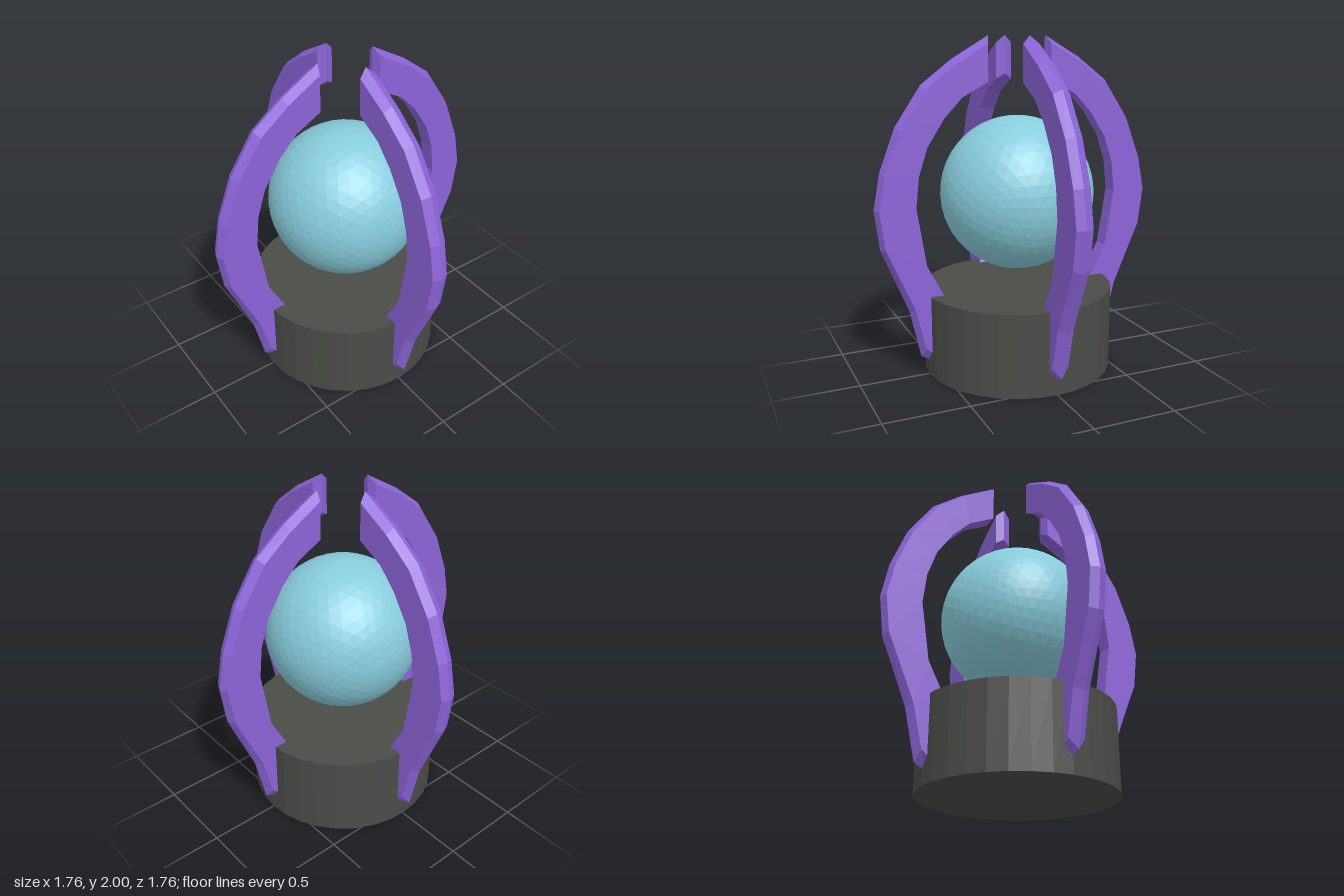
import * as THREE from 'three';

const material = (color) => new THREE.MeshStandardMaterial({ color, flatShading: true });

// Claw stations from tip to foot, as [radius, height]
const ridge = [[0.18, 2], [0.405, 1.87], [0.59, 1.73], [0.745, 1.5], [0.84, 1.25],
  [0.88, 1.035], [0.85, 0.8], [0.69, 0.41], [0.625, 0.12], [0.55, 0.08]];
const outer = [[0.2, 1.955], [0.4, 1.84], [0.575, 1.705], [0.725, 1.485], [0.82, 1.24],
  [0.86, 1.035], [0.83, 0.81], [0.665, 0.43], [0.605, 0.18], [0.55, 0.135]];
const inner = [[0.2, 1.74], [0.36, 1.655], [0.47, 1.54], [0.57, 1.385], [0.625, 1.22],
  [0.645, 1.037], [0.59, 0.69], [0.485, 0.49], [0.45, 0.3], [0.5, 0.14]];

// Six-point cross-section swept along the stations: outer ridge, two flat cheeks, inner face
function clawGeometry(half = 0.05) {
  const positions = [], index = [];
  const quad = (a, b, c, d) => index.push(a, b, c, a, c, d);
  ridge.forEach((r, i) => {
    const mid = i === 0 ? [0.18, 1.77] : inner[i];
    positions.push(...r, 0, ...outer[i], half, ...inner[i], half,
      ...mid, 0, ...inner[i], -half, ...outer[i], -half);
  });
  const last = (ridge.length - 1) * 6;
  for (let s = 0; s < last; s += 6) {
    for (let j = 0; j < 6; j++) {
      const k = (j + 1) % 6;
      quad(s + j, s + k, s + 6 + k, s + 6 + j);
    }
  }
  // End caps, folded along the middle
  quad(0, 3, 2, 1);
  quad(0, 5, 4, 3);
  quad(last, last + 1, last + 2, last + 3);
  quad(last, last + 3, last + 4, last + 5);

  const geometry = new THREE.BufferGeometry();
  geometry.setAttribute('position', new THREE.Float32BufferAttribute(positions, 3));
  geometry.setIndex(index);
  geometry.computeVertexNormals();
  return geometry;
}

export function createModel() {
  const model = new THREE.Group();
  model.name = 'orbPedestal';
  const add = (name, geometry, mat, y = 0) => {
    const mesh = new THREE.Mesh(geometry, mat);
    mesh.name = name;
    mesh.position.y = y;
    model.add(mesh);
    return mesh;
  };

  // Round base
  add('base', new THREE.CylinderGeometry(0.575, 0.575, 0.5, 32), material(0x4a4c48), 0.25);

  // Floating orb
  add('orb', new THREE.IcosahedronGeometry(0.462, 7), material(0x88ccdc), 1.075);

  // Four claws around the orb
  const claw = clawGeometry();
  const purple = material(0x8c64d8);
  ['leftClaw', 'backClaw', 'rightClaw', 'frontClaw'].forEach((name, i) => {
    add(name, claw, purple).rotation.y = i * Math.PI / 2;
  });

  return model;
}
